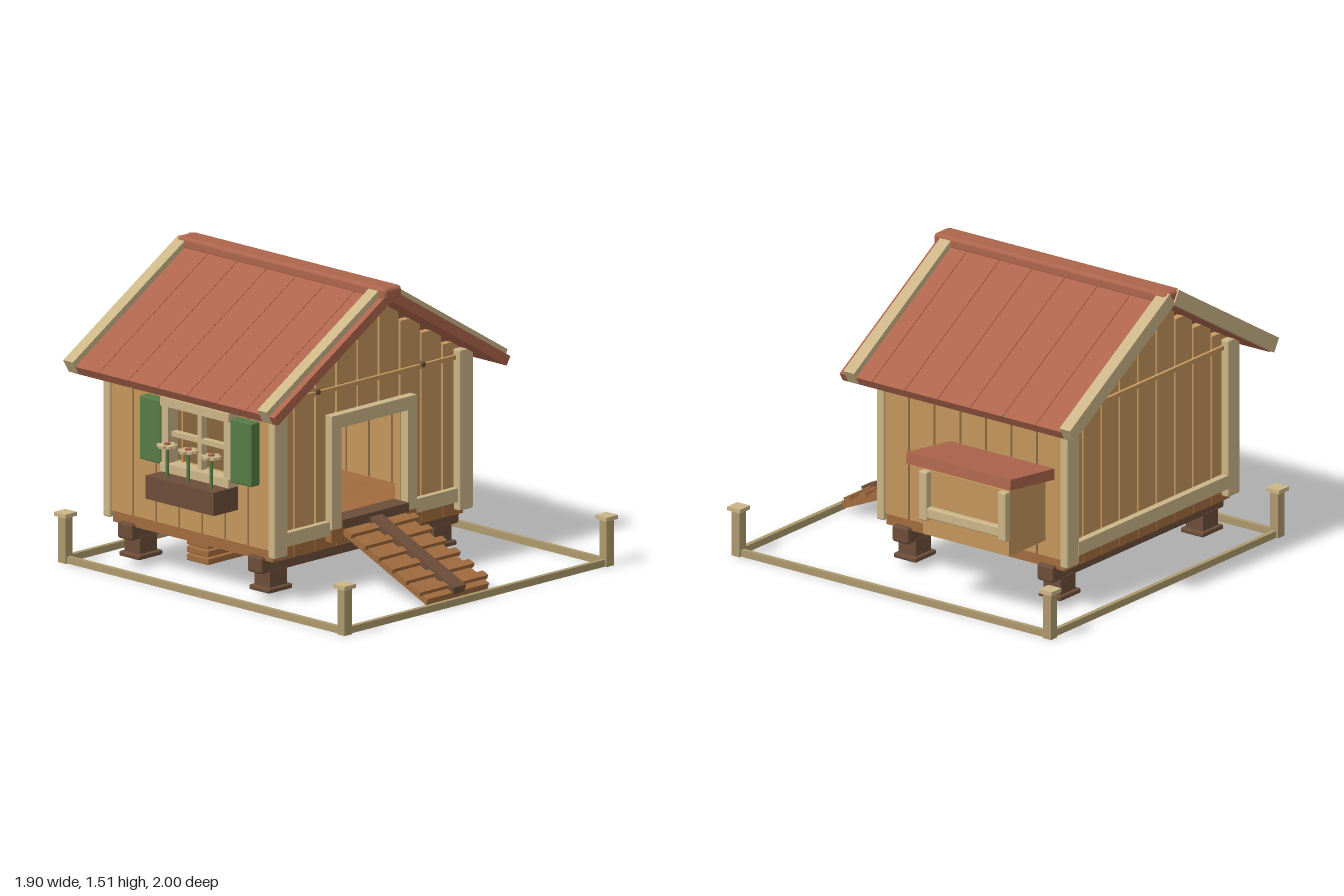
import * as THREE from 'three';
import { RoundedBoxGeometry } from 'three/addons/geometries/RoundedBoxGeometry.js';

const mat = (name, color) => {
  const m = new THREE.MeshStandardMaterial({ color });
  m.name = name;
  return m;
};

export function createModel() {
  const wood = mat('plank wood', 0xc4965c);
  const trim = mat('pale trim', 0xcbb587);
  const fenceWood = mat('fence wood', 0xac986c);
  const red = mat('roof red', 0xad654c);
  const dark = mat('dark timber', 0x6d4e3a);
  const mid = mat('floor timber', 0xa26c3e);
  const green = mat('shutter green', 0x567a45);

  const model = new THREE.Group();
  const group = (name, parent = model) => {
    const g = new THREE.Group();
    g.name = name;
    parent.add(g);
    return g;
  };
  // Box given by its limits on each axis; r rounds the edges
  const box = (parent, name, m, [x0, x1], [y0, y1], [z0, z1], r = 0) => {
    const s = [x1 - x0, y1 - y0, z1 - z0];
    const geo = r ? new RoundedBoxGeometry(...s, 2, r) : new THREE.BoxGeometry(...s);
    const mesh = new THREE.Mesh(geo, m);
    mesh.name = name;
    mesh.position.set((x0 + x1) / 2, (y0 + y1) / 2, (z0 + z1) / 2);
    parent.add(mesh);
    return mesh;
  };
  const CX = -0.09; // centre line of the house

  // Fence: low rails with capped corner posts
  const fence = group('fence');
  for (const s of [-1, 1]) {
    box(fence, 'fenceRail', fenceWood, [-0.91, 0.91], [0, 0.035], [s * 0.96 - 0.012, s * 0.96 + 0.012]);
    box(fence, 'fenceRail', fenceWood, [s * 0.91 - 0.012, s * 0.91 + 0.012], [0, 0.035], [-0.96, 0.96]);
    for (const t of [-1, 1]) {
      const x = s * 0.91, z = t * 0.96;
      box(fence, 'fencePost', fenceWood, [x - 0.025, x + 0.025], [0, 0.235], [z - 0.025, z + 0.025]);
      box(fence, 'fenceCap', trim, [x - 0.04, x + 0.04], [0.235, 0.255], [z - 0.04, z + 0.04]);
    }
  }

  // Footings, cross beams and floor boards
  const base = group('base');
  for (const z of [0.205, -0.688]) {
    box(base, 'crossBeam', dark, [-0.775, 0.6], [0.14, 0.225], [z - 0.05, z + 0.05], 0.012);
    for (const x of [-0.66, 0.48]) {
      box(base, 'leg', dark, [x - 0.06, x + 0.06], [0.06, 0.15], [z - 0.053, z + 0.053]);
      box(base, 'footing', dark, [x - 0.083, x + 0.083], [0.04, 0.065], [z - 0.07, z + 0.07], 0.008);
    }
  }
  const P = 0.147, G = 0.006;
  for (let i = -4; i <= 4; i++) {
    const x = CX + i * P;
    box(base, 'floorBoard', mid, [x - P / 2 + 0.002, x + P / 2 - 0.002], [0.208, 0.275], [-0.79, 0.31]);
  }

  // Gable walls: stepped vertical planks, the front one with a doorway
  const walls = group('walls');
  for (const [z0, z1, front] of [[0.27, 0.308, true], [-0.788, -0.75, false]]) {
    for (let i = -4; i <= 4; i++) {
      const x = CX + i * P, n = Math.abs(i);
      const top = n === 0 ? 1.41 : 1.437 - 0.088 * n;
      const bottom = front && n < 2 ? 0.83 : 0.275;
      box(walls, 'gablePlank', wood, [x - P / 2 + G, x + P / 2 - G], [bottom, top], [z0, z1]);
    }
    const o = front ? [0.3, 0.325] : [-0.805, -0.78];
    box(walls, 'gableBatten', wood, [-0.69, 0.51], [0.998, 1.02], o);
  }
  for (const x of [-0.455, 0.275]) {
    const peg = new THREE.Mesh(new THREE.CylinderGeometry(0.014, 0.014, 0.03, 10), dark);
    peg.name = 'battenPeg';
    peg.rotation.x = Math.PI / 2;
    peg.position.set(x, 1.018, 0.318);
    walls.add(peg);
  }

  // Side walls: seven planks each, the -x one with a window opening
  const Q = 0.158;
  for (const s of [-1, 1]) {
    const xr = s > 0 ? [0.55, 0.588] : [-0.768, -0.73];
    for (let k = 0; k < 7; k++) {
      const z = 0.236 - k * Q, zr = [z - Q / 2 + G, z + Q / 2 - G];
      const spans = s < 0 && k > 0 && k < 5 ? [[0.27, 0.6], [0.9, 1.01]] : [[0.27, 1.01]];
      for (const yr of spans) box(walls, 'sidePlank', wood, xr, yr, zr);
    }
  }

  // Corner boards and bottom boards
  const boards = group('trimBoards');
  for (const [z0, z1, front] of [[0.303, 0.35, true], [-0.83, -0.783, false]]) {
    for (const s of [-1, 1]) {
      const x = CX + s * 0.643;
      box(boards, 'cornerBoard', trim, [x - 0.048, x + 0.048], [0.235, 1.05], [z0, z1], 0.008);
    }
    const runs = front ? [[-0.69, -0.38], [0.2, 0.51]] : [[-0.69, 0.51]];
    for (const xr of runs) box(boards, 'bottomBoard', trim, xr, [0.28, 0.35], [z0, z1 - 0.01]);
  }

  // Door frame and sill
  const door = group('doorway');
  for (const s of [-1, 1]) {
    const x = CX + s * 0.2625;
    box(door, 'doorJamb', trim, [x - 0.0325, x + 0.0325], [0.31, 0.82], [0.295, 0.355]);
  }
  box(door, 'doorHead', trim, [-0.385, 0.205], [0.817, 0.885], [0.295, 0.355]);
  box(door, 'doorStep', mid, [-0.385, 0.205], [0.245, 0.31], [0.295, 0.35]);
  box(door, 'doorSill', dark, [-0.32, 0.14], [0.305, 0.352], [0.26, 0.365]);

  // Ramp: sloping deck, treads and a central spine
  const ramp = group('ramp');
  ramp.position.set(0, 0.305, 0.35);
  ramp.rotation.x = 0.407;
  box(ramp, 'rampDeck', mid, [-0.3, 0.125], [-0.035, 0], [0, 0.632]);
  box(ramp, 'rampSpine', dark, [-0.13, -0.047], [-0.045, 0.03], [0, 0.632]);
  for (let i = 0; i < 6; i++) {
    const z = 0.06 + i * 0.103;
    box(ramp, 'rampTread', mid, [-0.325, 0.145], [-0.005, 0.02], [z - 0.02, z + 0.02]);
  }

  // Roof: two slopes of boards with raised barge boards
  const roof = group('roof');
  const L = 0.957;
  for (const s of [-1, 1]) {
    const slope = group('roofSlope', roof);
    slope.position.set(CX, 1.495, 0);
    slope.rotation.z = -s * 0.542;
    const span = (a, b) => (s > 0 ? [a, b] : [-b, -a]);
    for (let i = 0; i < 7; i++) {
      const z = -0.93 + i * 0.2014;
      box(slope, 'roofBoard', red, span(0, L), [-0.05, 0], [z, z + 0.198]);
    }
    for (const z of [-0.958, 0.375]) {
      box(slope, 'bargeBoard', trim, span(0.025, L + 0.002), [-0.046, 0.03], [z, z + 0.066]);
    }
  }
  box(roof, 'ridgeCap', red, [CX - 0.062, CX + 0.062], [1.445, 1.51], [-0.95, 0.485], 0.02);

  // Nest box with a framed face and a lid tilting up outward
  const nest = group('nestBox');
  box(nest, 'nestBody', wood, [0.57, 0.88], [0.352, 0.69], [-0.685, -0.155]);
  for (const z of [-0.663, -0.177]) {
    box(nest, 'nestPost', trim, [0.872, 0.915], [0.435, 0.69], [z - 0.025, z + 0.025], 0.008);
  }
  box(nest, 'nestRail', trim, [0.872, 0.91], [0.45, 0.505], [-0.66, -0.18], 0.008);
  const lid = box(nest, 'nestLid', red, [0.578, 0.943], [0.702, 0.758], [-0.74, -0.098]);
  lid.rotation.z = 0.125;

  // Window with mullions and shutters on the -x wall
  const win = group('window');
  const WZ = -0.145, wx = [-0.825, -0.755];
  for (const s of [-1, 1]) {
    const z = WZ + s * 0.215;
    box(win, 'windowJamb', trim, wx, [0.56, 0.935], [z - 0.022, z + 0.022]);
    const c = WZ + s * 0.312;
    box(win, 'shutter', green, [-0.832, -0.768], [0.59, 0.912], [c - 0.073, c + 0.073], 0.008);
  }
  for (const y of [0.58, 0.913]) box(win, 'windowRail', trim, [-0.838, -0.755], [y - 0.022, y + 0.022], [WZ - 0.235, WZ + 0.235]);
  box(win, 'mullion', trim, [-0.8, -0.765], [0.58, 0.91], [WZ - 0.014, WZ + 0.014]);
  box(win, 'crossBar', trim, [-0.8, -0.765], [0.735, 0.76], [WZ - 0.2, WZ + 0.2]);

  // Planter with three flowers
  const planter = group('planter');
  box(planter, 'planterBox', dark, [-0.938, -0.765], [0.437, 0.555], [-0.38, 0.088]);
  for (const z of [-0.285, -0.14, 0.018]) {
    const flower = group('flower', planter);
    flower.position.set(-0.885, 0.55, z);
    const add = (name, geo, m, x, y, zz) => {
      const mesh = new THREE.Mesh(geo, m);
      mesh.name = name;
      mesh.position.set(x, y, zz);
      flower.add(mesh);
    };
    add('stem', new THREE.CylinderGeometry(0.009, 0.009, 0.16, 8), green, 0, 0.08, 0);
    add('flowerHeart', new THREE.CylinderGeometry(0.016, 0.016, 0.022, 10), red, 0, 0.167, 0);
    for (let i = 0; i < 6; i++) {
      const a = (i * Math.PI) / 3;
      add('petal', new THREE.CylinderGeometry(0.018, 0.018, 0.014, 10), trim, Math.cos(a) * 0.034, 0.163, Math.sin(a) * 0.034);
    }
  }

  // Stack of slats under the floor
  const stack = group('slatStack');
  for (let i = 0; i < 3; i++) {
    const y = 0.052 + i * 0.04;
    box(stack, 'slat', mid, [-0.6, 0.0], [y, y + 0.033], [-0.435, -0.285], 0.006);
  }

  return model;
}
